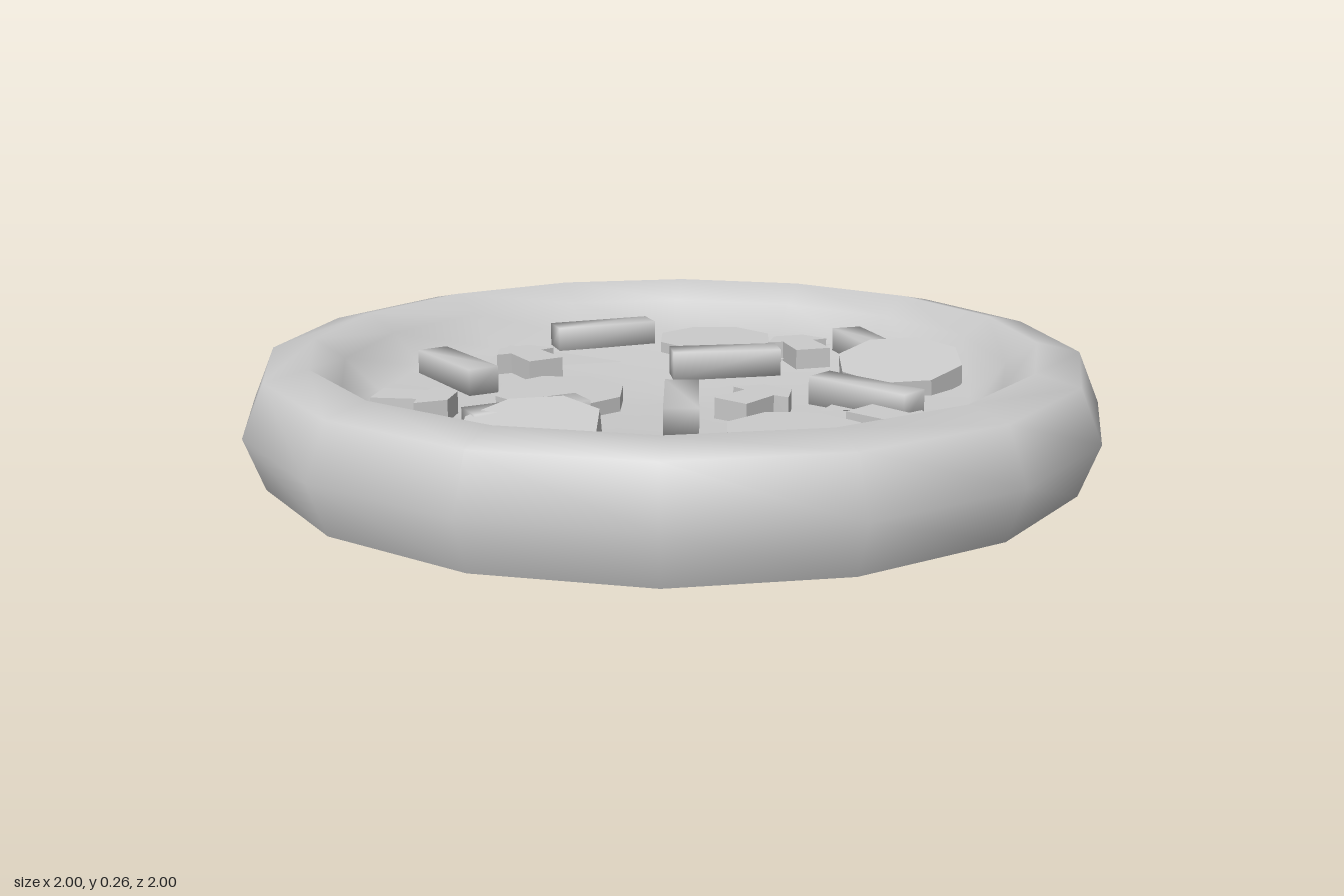
import * as THREE from 'three';
import { mergeVertices } from 'three/addons/utils/BufferGeometryUtils.js';

export function createModel() {
  const group = new THREE.Group();
  const smooth = new THREE.MeshStandardMaterial({ color: 0xcccccc });
  const flat = new THREE.MeshStandardMaterial({ color: 0xcccccc, flatShading: true });
  const thin = new THREE.MeshStandardMaterial({ color: 0xcccccc, flatShading: true, side: THREE.DoubleSide });

  const add = (name, geometry, material, x = 0, y = 0, z = 0, yaw = 0) => {
    const mesh = new THREE.Mesh(geometry, material);
    mesh.name = name;
    mesh.position.set(x, y, z);
    mesh.rotation.y = yaw;
    group.add(mesh);
    return mesh;
  };

  // Crust and sunken filling: one 16-sided smooth revolve
  const profile = [[0.955, 0], [1, 0.12], [0.95, 0.24], [0.85, 0.262], [0.78, 0.215], [0.7, 0.135], [0, 0.118]]
    .map(([r, y]) => new THREE.Vector2(r, y));
  add('crust', new THREE.LatheGeometry(profile, 16), smooth);

  // Flat underside
  const base = new THREE.CircleGeometry(0.955, 16).rotateX(Math.PI / 2);
  add('underside', base, flat);

  // Round slices; two lean on the sticks beneath them
  const slice = new THREE.CylinderGeometry(0.155, 0.155, 0.05, 8);
  [
    [0.295, 0.132, -0.46, 0],
    [-0.27, 0.132, -0.035, 0],
    [0.08, 0.14, 0.505, 0],
    [0.56, 0.165, 0.08, 0.17],
    [-0.45, 0.162, 0.34, 0.17],
  ].forEach(([x, y, z, tilt]) => {
    const mesh = add('roundSlice', slice, flat, x, y, z);
    mesh.quaternion.setFromAxisAngle(new THREE.Vector3(1, 0, 1).normalize(), tilt);
  });

  // Sticks: boxes with shared corners for soft shading
  let stick = new THREE.BoxGeometry(0.27, 0.07, 0.078);
  stick.deleteAttribute('normal');
  stick.deleteAttribute('uv');
  stick = mergeVertices(stick);
  stick.computeVertexNormals();
  // x, z, direction x, direction z
  [
    [0.025, -0.597, 1, 0],
    [-0.448, -0.305, 0.06, 0.25],
    [0.205, -0.177, 0.26, 0.06],
    [0.598, -0.165, -0.015, 0.25],
    [-0.418, 0.198, 0.26, -0.035],
    [-0.07, 0.23, -0.095, 0.24],
    [0.36, 0.285, 0.11, 0.23],
  ].forEach(([x, z, dx, dz]) => add('stick', stick, smooth, x, 0.158, z, Math.atan2(-dz, dx)));

  // Mushroom slices: cap and stem outline, stem along local +z
  const half = [[0.04, 0.07], [0.08, 0.005], [0.042, 0], [0.046, -0.105]];
  const outline = [...half, ...half.map(([x, y]) => [-x, y]).reverse()]
    .map(([x, y]) => new THREE.Vector2(x, y));
  const mushroom = new THREE.ExtrudeGeometry(new THREE.Shape(outline), { depth: 0.05, bevelEnabled: false })
    .rotateX(-Math.PI / 2);
  // x, y, z, stem direction x, stem direction z
  [
    [-0.255, 0.13, -0.37, 0.2, 1],
    [0.44, 0.13, -0.245, -0.07, 1],
    [-0.605, 0.137, 0.01, -0.87, -0.5],
    [0.13, 0.122, 0.205, -0.88, 0.47],
    [0.32, 0.122, 0.51, -0.4, -0.9],
  ].forEach(([x, y, z, dx, dz]) => add('mushroomSlice', mushroom, flat, x, y, z, Math.atan2(dx, dz)));

  // Thin triangular flakes just above the filling
  [
    [-0.22, -0.655, -0.38, -0.4, -0.005, -0.355],
    [0.33, -0.43, 0.33, -0.2, 0.6, -0.36],
    [0.38, 0.17, 0.24, 0.29, 0.6, 0.35],
    [-0.55, 0.14, -0.55, 0.21, -0.25, 0.12],
  ].forEach(([ax, az, bx, bz, cx, cz]) => {
    const geometry = new THREE.BufferGeometry().setFromPoints([
      new THREE.Vector3(ax, 0.137, az), new THREE.Vector3(bx, 0.137, bz), new THREE.Vector3(cx, 0.137, cz),
    ]);
    geometry.computeVertexNormals();
    add('flake', geometry, thin);
  });

  return group;
}
